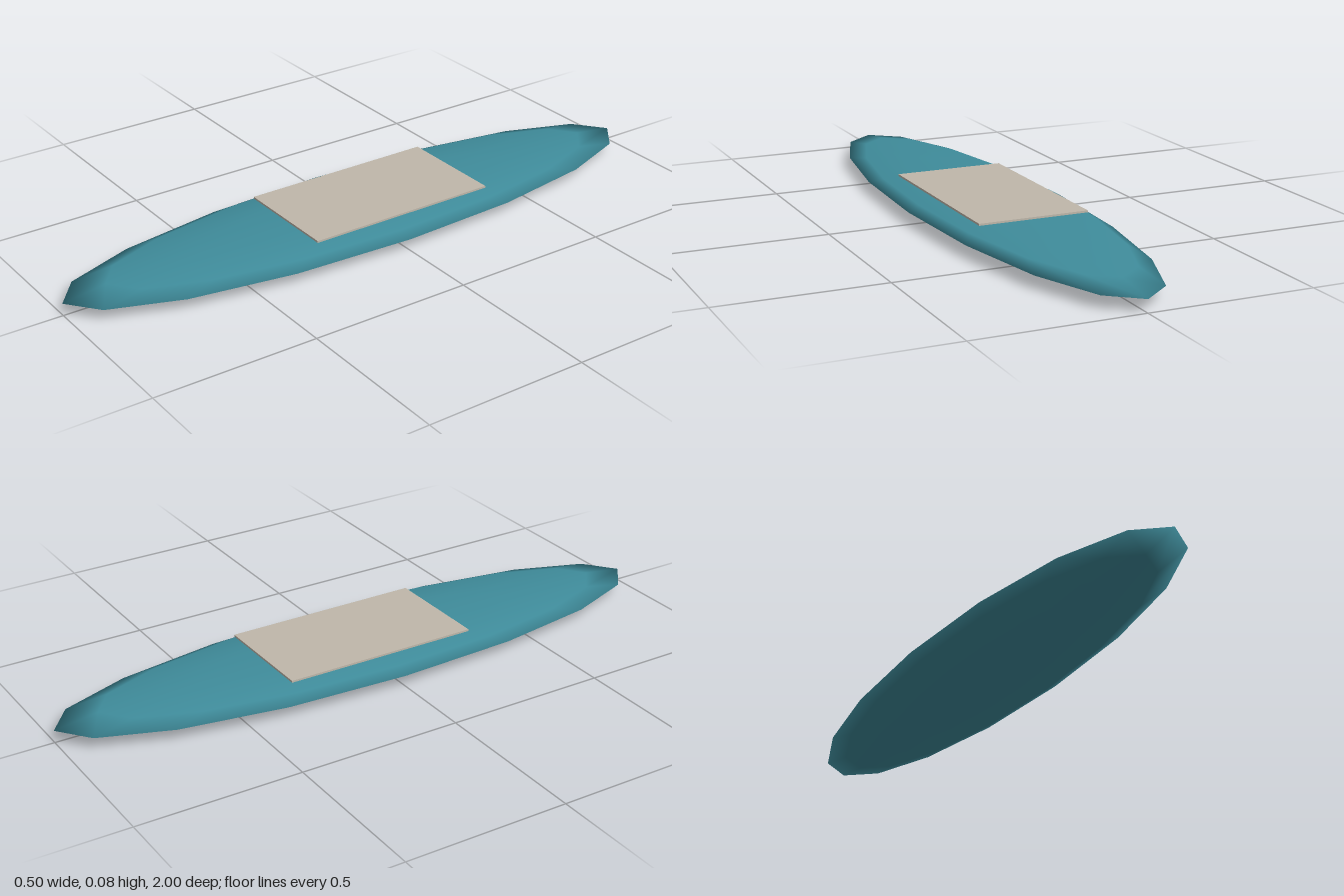
import * as THREE from 'three';

export function createModel() {
  const group = new THREE.Group();
  const hullTeal = new THREE.MeshStandardMaterial({ name: 'hullTeal', color: 0x3f8c9b });
  const padGrey = new THREE.MeshStandardMaterial({ name: 'padGrey', color: 0xbfb7aa });

  // Board: a coarse sphere flattened into a long pointed lens
  const boardGeometry = new THREE.SphereGeometry(1, 16, 6);
  boardGeometry.scale(0.25, 0.0375, 1);
  const board = new THREE.Mesh(boardGeometry, hullTeal);
  board.name = 'board';
  board.position.y = 0.0378;
  group.add(board);

  // Deck pad: thin flat sheet, set slightly towards the back
  const deckPad = new THREE.Mesh(new THREE.BoxGeometry(0.344, 0.006, 0.615), padGrey);
  deckPad.name = 'deckPad';
  deckPad.position.set(0, 0.0795, -0.033);
  group.add(deckPad);

  return group;
}
